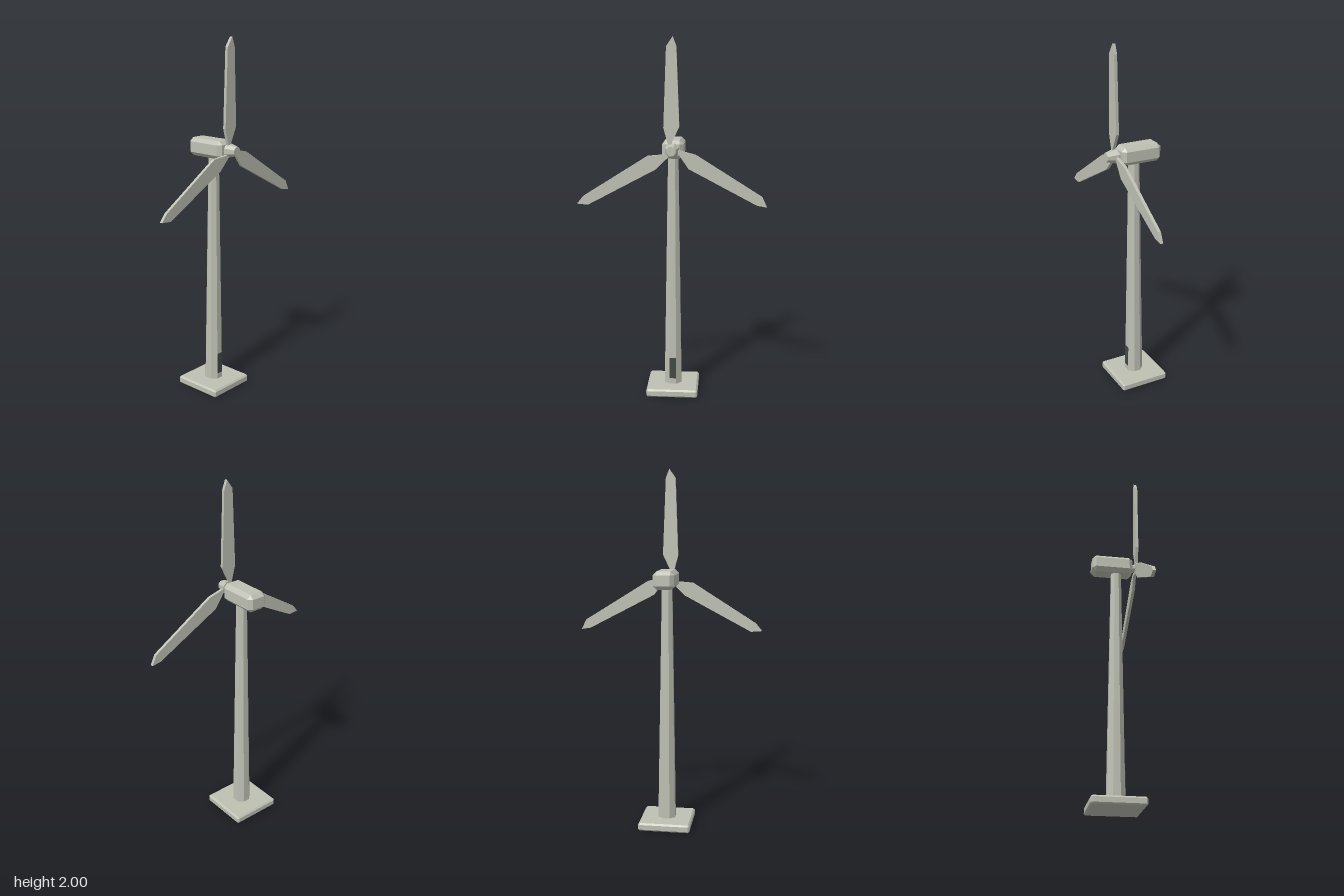
import * as THREE from 'three';
import { ConvexGeometry } from 'three/addons/geometries/ConvexGeometry.js';

const paint = new THREE.MeshStandardMaterial({ color: 0xbfc1b4 });
paint.name = 'paleGrey';
const dark = new THREE.MeshStandardMaterial({ color: 0x424a46 });
dark.name = 'darkGrey';

const AXIS_Z = -0.013; // tower axis
const HUB_Y = 1.405;

function addMesh(parent, name, geometry, material, x = 0, y = 0, z = 0) {
  const mesh = new THREE.Mesh(geometry, material);
  mesh.name = name;
  mesh.position.set(x, y, z);
  parent.add(mesh);
  return mesh;
}

// Box with every edge cut by a chamfer c
function chamferBox(w, h, d, c) {
  const half = [w / 2, h / 2, d / 2];
  const points = [];
  for (const sx of [-1, 1]) for (const sy of [-1, 1]) for (const sz of [-1, 1]) {
    for (let full = 0; full < 3; full++) {
      const p = half.map((v, i) => (i === full ? v : v - c));
      points.push(new THREE.Vector3(p[0] * sx, p[1] * sy, p[2] * sz));
    }
  }
  return new ConvexGeometry(points);
}

// Octagonal frustum with flat-shaded sides; radii are measured to the flats
function octagon(topFlat, bottomFlat, height) {
  const k = 1 / Math.cos(Math.PI / 8);
  const g = new THREE.CylinderGeometry(topFlat * k, bottomFlat * k, height, 8);
  g.rotateY(Math.PI / 8);
  const flat = g.toNonIndexed();
  flat.computeVertexNormals();
  return flat;
}

export function createModel() {
  const model = new THREE.Group();
  model.name = 'windTurbine';

  // Foundation slab and tapered tower
  addMesh(model, 'base', chamferBox(0.29, 0.045, 0.288, 0.009), paint, 0, 0.0225, -0.014);
  const bottomY = 0.04, topY = 1.37, bottomR = 0.048, topR = 0.028;
  const height = topY - bottomY;
  addMesh(model, 'tower', octagon(topR, bottomR, height), paint, 0, bottomY + height / 2, AXIS_Z);

  // Door plate lying on the sloped front flat
  const doorY = 0.14;
  const slope = (bottomR - topR) / height;
  const doorZ = AXIS_Z + bottomR - slope * (doorY - bottomY);
  const door = addMesh(model, 'door', new THREE.BoxGeometry(0.036, 0.122, 0.006), dark, 0, doorY, doorZ);
  door.rotation.x = -Math.atan(slope);

  // Machine housing
  addMesh(model, 'nacelle', chamferBox(0.116, 0.1, 0.234, 0.021), paint, 0.002, HUB_Y, -0.037);

  // Rotor: shaft, nose cone and three blades
  const rotor = new THREE.Group();
  rotor.name = 'rotor';
  rotor.position.set(0, HUB_Y, 0);
  model.add(rotor);

  addMesh(rotor, 'shaft', octagon(0.022, 0.022, 0.03), paint, 0, 0, 0.085).rotation.x = Math.PI / 2;
  addMesh(rotor, 'hub', octagon(0.024, 0.038, 0.06), paint, 0, 0, 0.1255).rotation.x = Math.PI / 2;

  const outline = [
    [-0.02, 0.03], [-0.006, 0.03], [0.04, 0.127], [0.024, 0.545],
    [0.005, 0.595], [-0.03, 0.545], [-0.045, 0.122],
  ];
  const bladeShape = new THREE.Shape(outline.map(([x, y]) => new THREE.Vector2(x, y)));
  const bladeGeometry = new THREE.ExtrudeGeometry(bladeShape, { depth: 0.017, bevelEnabled: false });
  for (let i = 0; i < 3; i++) {
    const blade = addMesh(rotor, 'blade' + (i + 1), bladeGeometry, paint, 0, 0, 0.096);
    blade.rotation.z = (i * Math.PI * 2) / 3;
  }

  return model;
}
